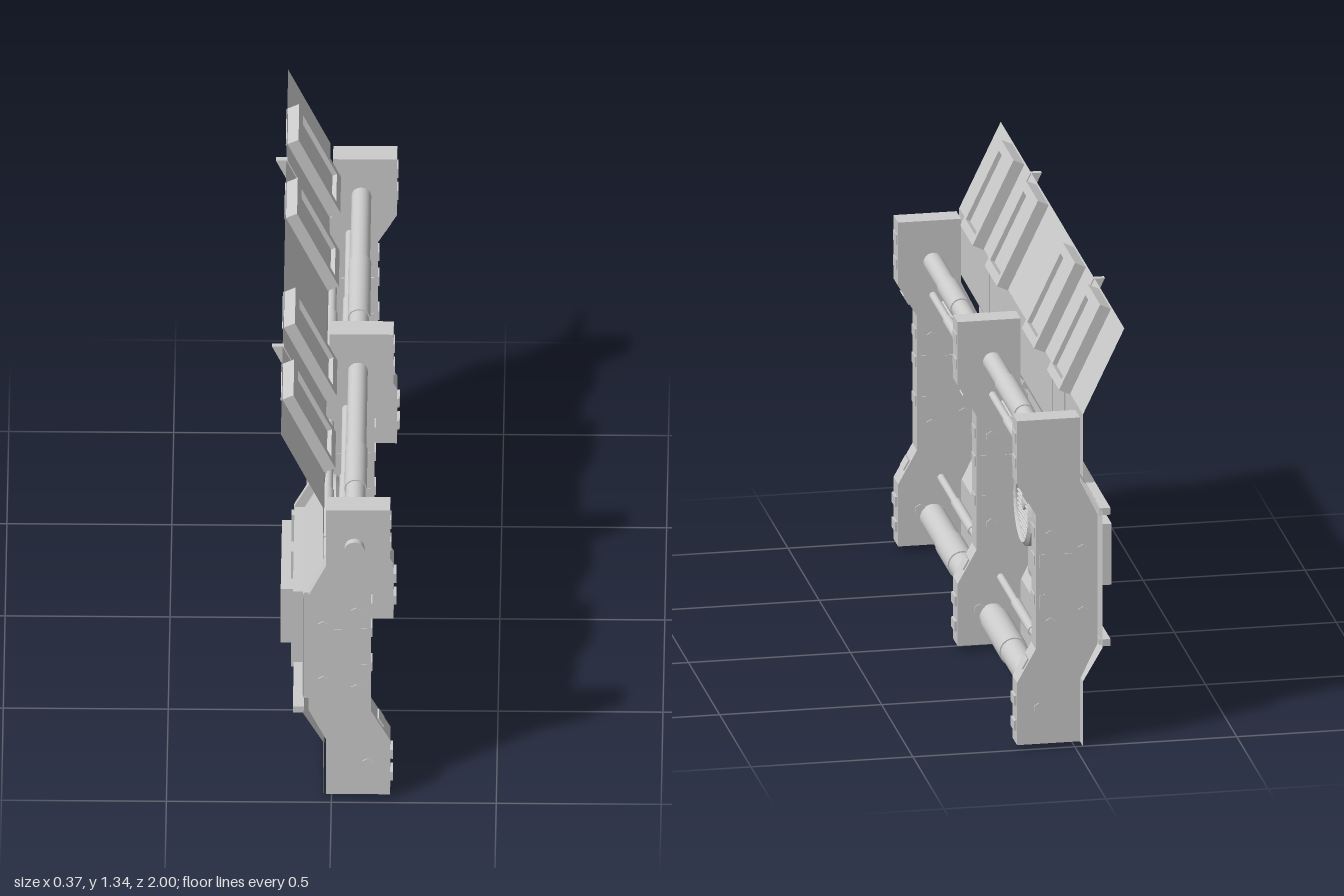
import * as THREE from 'three';

const mat = new THREE.MeshStandardMaterial({ color: 0xcccccc, flatShading: true, side: THREE.DoubleSide });
const smooth = new THREE.MeshStandardMaterial({ color: 0xcccccc });

// Wall profile as [x, y]
const PROFILE = [[-0.025, 0], [-0.025, 0.207], [-0.086, 0.312], [-0.086, 0.745],
  [-0.025, 0.858], [-0.025, 1.062], [-0.153, 1.33]];
const TILT = Math.atan2(0.128, 0.268);
const BAY_X = -0.036;

function wallX(y) {
  for (let i = 1; i < PROFILE.length; i++) {
    const [x0, y0] = PROFILE[i - 1], [x1, y1] = PROFILE[i];
    if (y <= y1 + 1e-6) return x0 + (x1 - x0) * (y - y0) / (y1 - y0);
  }
  return PROFILE.at(-1)[0];
}

function add(parent, name, geo, x = 0, y = 0, z = 0, material = mat) {
  const mesh = new THREE.Mesh(geo, material);
  mesh.name = name;
  mesh.position.set(x, y, z);
  parent.add(mesh);
  return mesh;
}
const box = (parent, name, sx, sy, sz, x, y, z) =>
  add(parent, name, new THREE.BoxGeometry(sx, sy, sz), x, y, z);

const poly = pts => new THREE.Shape(pts.map(p => new THREE.Vector2(...p)));
const rect = (w, h, x = 0, y = 0) => [[x - w / 2, y - h / 2], [x + w / 2, y - h / 2],
  [x + w / 2, y + h / 2], [x - w / 2, y + h / 2]];

// Plate facing +x, pierced by rectangular holes [width, height, z, y]
function plate(parent, name, w, h, depth, holes, x, y, z) {
  const shape = poly(rect(w, h));
  for (const [hw, hh, hz, hy] of holes) shape.holes.push(poly(rect(hw, hh, -hz, hy)));
  const geo = new THREE.ExtrudeGeometry(shape, { depth, bevelEnabled: false });
  geo.rotateY(Math.PI / 2);
  return add(parent, name, geo, x, y, z);
}

// Folded sheet with two central bays pressed forward, leaving pockets at the back
function wall(parent) {
  const zs = [-1, -0.395, -0.38, -0.06, -0.045, 0.02, 0.035, 0.38, 0.395, 0.98];
  const ys = [0, 0.207, 0.235, 0.26, 0.312, 0.745, 0.8, 0.83, 0.858, 1.062, 1.33];
  const geo = new THREE.PlaneGeometry(1, 1, zs.length - 1, ys.length - 1);
  const pos = geo.attributes.position;
  for (let i = 0; i < pos.count; i++) {
    const z = zs[i % zs.length], y = ys[Math.floor(i / zs.length)];
    const inBay = Math.abs(z) < 0.39 && (z < -0.05 || z > 0.03) && y > 0.25 && y < 0.84;
    pos.setXYZ(i, inBay ? BAY_X : wallX(y), y, z);
  }
  add(parent, 'wallSheet', geo.toNonIndexed());
}

// Rib standing off the back of the wall, up to the given profile point
function rib(parent, z, count) {
  const path = PROFILE.slice(0, count);
  const back = path.map(([x, y]) => [x - 0.032, y]);
  const front = path.map(([x, y]) => [x + 0.004, y]).reverse();
  const geo = new THREE.ExtrudeGeometry(poly([...back, ...front]), { depth: 0.018, bevelEnabled: false });
  add(parent, 'wallRib', geo, 0, 0, z - 0.009);
}

// Recessed frame on the leaning top of the wall
function topFrame(parent, z) {
  const g = new THREE.Group();
  g.name = 'topFrame';
  g.position.set(wallX(1.192), 1.192, z);
  g.rotation.z = TILT;
  plate(g, 'frameRim', 0.195, 0.294, 0.043, [[0.148, 0.237, 0, 0]], -0.006, 0, 0);
  box(g, 'framePane', 0.024, 0.25, 0.165, 0.01, 0, 0);
  parent.add(g);
}

// Round grille with horizontal slats
function fan(parent, z) {
  const g = new THREE.Group();
  g.name = 'fanGrille';
  g.position.set(BAY_X, 0.515, z);
  const ring = new THREE.LatheGeometry([[0.108, 0], [0.108, 0.046], [0.116, 0.052],
    [0.128, 0.042], [0.128, 0]].map(p => new THREE.Vector2(...p)), 40);
  add(g, 'fanRing', ring).rotation.z = -Math.PI / 2;
  for (let i = -7; i <= 7; i++) {
    const y = i * 0.0142;
    const slat = box(g, 'fanSlat', 0.016, 0.006, 2 * Math.sqrt(0.109 ** 2 - y * y), 0.034, y, 0);
    slat.rotation.z = -0.4;
  }
  add(g, 'fanHub', new THREE.CylinderGeometry(0.018, 0.018, 0.035, 16), 0.028).rotation.z = Math.PI / 2;
  parent.add(g);
}

// Side bay: inner plate with louvre opening, box behind it, rails on the back
function sideBay(parent, s) {
  const g = new THREE.Group();
  g.name = s > 0 ? 'frontBay' : 'rearBay';
  const zc = s * 0.65, zo = s * 0.595;
  plate(g, 'bayPlate', 0.51, 0.385, 0.018, [[0.36, 0.19, zo - zc, 0.025]], -0.088, 0.51, zc);
  for (let i = 0; i < 4; i++) {
    const fin = poly([[-0.032, -0.095], [0.022, -0.095], [0.012, 0], [0.022, 0.095], [-0.032, 0.095], [-0.022, 0]]);
    const geo = new THREE.ExtrudeGeometry(fin, { depth: 0.016, bevelEnabled: false });
    geo.rotateY(Math.PI / 2);
    add(g, 'louvre', geo, -0.088, 0.535, zo + (i - 1.5) * 0.09);
  }
  const slots = s > 0 ? [-1.5, -0.5, 0.5, 1.5].map(i => [0.055, 0.145, i * 0.083, 0]) : [];
  plate(g, 'backBox', 0.375, 0.195, 0.068, slots, -0.156, 0.534, zo);
  box(g, 'boxFloor', 0.03, 0.17, 0.35, -0.115, 0.534, zo);
  for (const y of [0.315, 0.735]) box(g, 'backRail', 0.034, 0.022, 0.46, -0.1, y, s * 0.735);
  // Short feeders running from the box to the rails
  for (const z of [0.51, 0.71]) for (const [y, h] of [[0.68, 0.1], [0.37, 0.12]])
    box(g, 'feeder', 0.036, h, 0.03, -0.108, y, s * z);
  parent.add(g);
}

// Upright support with pads, bolts and plates
function post(parent, zc) {
  const g = new THREE.Group();
  g.name = 'supportPost';
  g.position.z = zc;
  const shape = poly([[-0.016, 0.016], [0.178, 0.016], [0.178, 0.215], [0.12, 0.32], [0.12, 0.75],
    [0.178, 0.85], [0.178, 1.053], [-0.016, 1.053], [-0.016, 0.85], [-0.07, 0.74], [-0.07, 0.325], [-0.016, 0.215]]);
  const geo = new THREE.ExtrudeGeometry(shape, { depth: 0.073, bevelEnabled: false });
  add(g, 'postBody', geo, 0, 0, -0.0365);
  for (const [x, y] of [[0.176, 0.995], [0.176, 0.915], [0.118, 0.6], [0.118, 0.475], [0.118, 0.69],
    [0.18, 0.155], [0.18, 0.075]])
    box(g, 'frontPad', 0.012, 0.032, 0.052, x, y, 0);
  for (const [y, a] of [[0.8, -0.525], [0.27, 0.505]])
    box(g, 'slopePad', 0.008, 0.035, 0.052, 0.149, y, 0).rotation.z = a;
  for (const side of [-1, 1]) {
    const z = side * 0.0375;
    box(g, 'sideSlot', 0.024, 0.17, 0.005, 0.02, 0.535, z);
    for (const [x, y] of [[0.075, 0.68], [0.075, 0.4], [-0.025, 0.63], [-0.025, 0.43], [0.11, 0.13]])
      add(g, 'bolt', new THREE.CylinderGeometry(0.018, 0.018, 0.006, 6), x, y, z).rotation.x = Math.PI / 2;
    for (const y of [0.6, 0.47]) box(g, 'sideTab', 0.016, 0.045, 0.005, 0.1, y, z);
  }
  parent.add(g);
}

// Pipe along z with collars
function pipe(parent, name, x, y, r, z0, z1, collars) {
  const g = new THREE.Group();
  g.name = name;
  g.position.set(x, y, 0);
  const rod = (n, rad, len, z) =>
    add(g, n, new THREE.CylinderGeometry(rad, rad, len, 24), 0, 0, z, smooth).rotation.x = Math.PI / 2;
  rod('pipe', r, z1 - z0, (z0 + z1) / 2);
  for (const [z, len] of collars) rod('collar', r + 0.004, len, z);
  parent.add(g);
}

export function createModel() {
  const model = new THREE.Group();
  model.name = 'wallSection';
  wall(model);
  rib(model, -0.71, 6);
  for (const z of [-0.515, 0.495]) rib(model, z, 7);
  for (const z of [-0.7, -0.3, 0.295, 0.685]) topFrame(model, z);
  for (const s of [-1, 1]) {
    fan(model, s * 0.213);
    sideBay(model, s);
  }
  for (const z of [-0.962, -0.012, 0.942]) post(model, z);
  pipe(model, 'upperPipe', 0.07, 0.92, 0.03, -0.95, 1, [[0.56, 0.21], [-0.41, 0.3]]);
  pipe(model, 'lowerPipe', 0.07, 0.105, 0.041, -0.95, 0.95, [[0.54, 0.2], [-0.24, 0.3]]);
  const thin = [[0.07, 0.813, 0.012], [0.035, 0.782, 0.013], [-0.018, 0.728, 0.016],
    [0.045, 0.228, 0.012]];
  for (const [x, y, r] of thin)
    pipe(model, 'thinPipe', x, y, r, -0.95, 0.95, [[0.53, 0.27], [-0.43, 0.27]]);
  return model;
}
